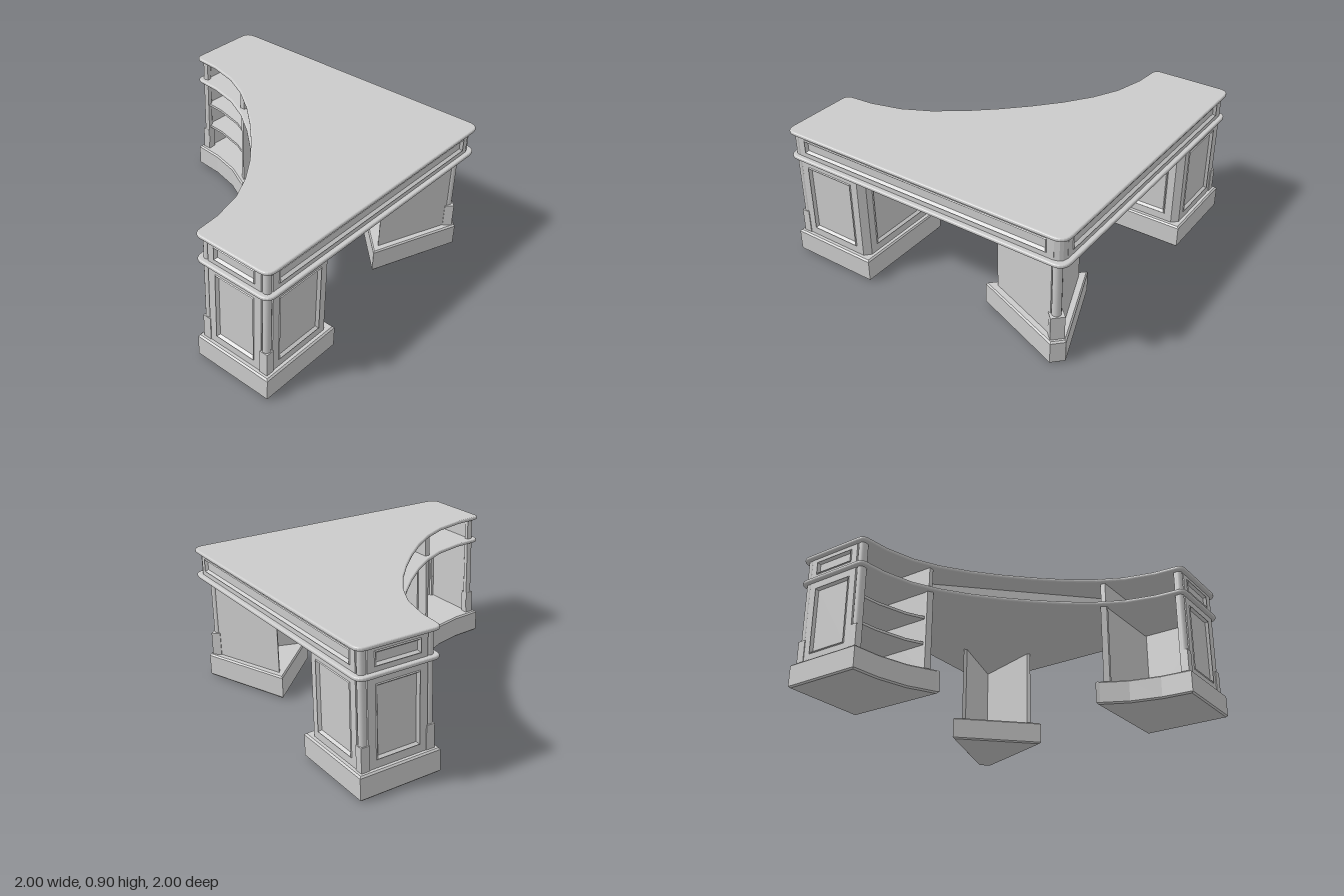
import * as THREE from 'three';

const material = new THREE.MeshStandardMaterial({ color: 0xcccccc });

// Half of the concave user-side edge in (x, z); the other half swaps x and z.
const half = [[-0.98, 0.46], [-0.8, 0.445], [-0.6, 0.395], [-0.43, 0.31], [-0.26, 0.19], [-0.1, 0.05]];
const arc = [...half, ...half.map(([x, z]) => [z, x]).reverse()];

// Concave edge moved inwards by d.
function edge(d) {
  return arc.map(([x, z], i) => {
    const a = (i / (arc.length - 1)) * Math.PI / 2;
    return [x + d * Math.sin(a), z + d * Math.cos(a)];
  });
}

// Portion of the edge between two x positions, left to right.
function edgeBetween(x0, x1, d) {
  const pts = edge(d);
  const at = (x) => {
    let i = 0;
    while (i < pts.length - 2 && pts[i + 1][0] < x) i++;
    const [p, q] = [pts[i], pts[i + 1]];
    return [x, p[1] + (q[1] - p[1]) * (x - p[0]) / (q[0] - p[0])];
  };
  return [at(x0), ...pts.filter(([x]) => x > x0 + 0.01 && x < x1 - 0.01), at(x1)];
}

function add(group, name, geometry) {
  const mesh = new THREE.Mesh(geometry, material);
  mesh.name = name;
  group.add(mesh);
  return mesh;
}

// Plan outline from [x, z, cornerRadius] points.
function planShape(points) {
  const shape = new THREE.Shape();
  points.forEach(([x, z, r = 0], i) => {
    const c = new THREE.Vector2(x, z);
    const toward = (p) => new THREE.Vector2(p[0], p[1]).sub(c).normalize().multiplyScalar(r).add(c);
    const a = toward(points[(i + points.length - 1) % points.length]);
    const b = toward(points[(i + 1) % points.length]);
    if (i === 0) shape.moveTo(a.x, a.y);
    else shape.lineTo(a.x, a.y);
    if (r > 0) shape.quadraticCurveTo(x, z, b.x, b.y);
  });
  shape.closePath();
  return shape;
}

// Plan outline raised from y0 to y1, optionally with softened edges.
function slab(group, name, points, y0, y1, bevel = 0, segments = 1) {
  const g = new THREE.ExtrudeGeometry(planShape(points), {
    depth: y1 - y0 - 2 * bevel, bevelEnabled: bevel > 0, bevelThickness: bevel,
    bevelSize: bevel, bevelOffset: -bevel, bevelSegments: segments, curveSegments: 6,
  });
  g.rotateX(Math.PI / 2).translate(0, y1 - bevel, 0);
  return add(group, name, g);
}

function box(group, name, x0, x1, y0, y1, z0, z1) {
  const g = new THREE.BoxGeometry(x1 - x0, y1 - y0, z1 - z0);
  return add(group, name, g.translate((x0 + x1) / 2, (y0 + y1) / 2, (z0 + z1) / 2));
}

// Wall with a framed recessed panel; p to q runs left to right seen from outside.
function panelWall(group, name, p, q, y0, y1, mx, my) {
  const w = Math.hypot(q[0] - p[0], q[1] - p[1]) / 2, h = (y1 - y0) / 2;
  const rings = [
    [w, h, -0.03], [w, h, 0], [w - mx, h - my, 0], [w - mx - 0.005, h - my - 0.005, 0.006],
    [w - mx - 0.018, h - my - 0.018, -0.012],
  ].map(([a, b, z]) => [[-a, -b, z], [a, -b, z], [a, b, z], [-a, b, z]]);
  const pos = [];
  const quad = (a, b, c, d) => pos.push(...a, ...b, ...c, ...a, ...c, ...d);
  for (let i = 0; i < rings.length - 1; i++) {
    for (let j = 0; j < 4; j++) {
      const k = (j + 1) % 4;
      quad(rings[i][j], rings[i][k], rings[i + 1][k], rings[i + 1][j]);
    }
  }
  quad(...rings[rings.length - 1]);
  quad(...[...rings[0]].reverse());
  const g = new THREE.BufferGeometry();
  g.setAttribute('position', new THREE.Float32BufferAttribute(pos, 3));
  g.computeVertexNormals();
  g.rotateY(Math.atan2(p[1] - q[1], q[0] - p[0]));
  g.translate((p[0] + q[0]) / 2, (y0 + y1) / 2, (p[1] + q[1]) / 2);
  return add(group, name, g);
}

function column(group, name, x, z, r, y0, y1) {
  const g = new THREE.CylinderGeometry(r, r, y1 - y0, 16);
  return add(group, name, g.translate(x, (y0 + y1) / 2, z));
}

// Copy of a group reflected across the diagonal (x and z swapped, winding restored).
function mirrorDiagonal(source, name) {
  const out = new THREE.Group();
  out.name = name;
  for (const mesh of source.children) {
    const g = mesh.geometry.index ? mesh.geometry.toNonIndexed() : mesh.geometry.clone();
    for (const key of ['position', 'normal']) {
      const src = g.getAttribute(key), dst = src.clone();
      for (let i = 0; i < src.count; i++) {
        const j = i % 3 === 1 ? i + 1 : i % 3 === 2 ? i - 1 : i;
        dst.setXYZ(i, src.getZ(j), src.getY(j), src.getX(j));
      }
      g.setAttribute(key, dst);
    }
    add(out, mesh.name, g);
  }
  return out;
}

// Open-backed pedestal under the end of one wing.
function createPedestal() {
  const g = new THREE.Group();
  g.name = 'rightPedestal';
  const y0 = 0.155, y1 = 0.71;
  slab(g, 'plinth', [...edgeBetween(-1, -0.41, 0), [-0.41, 1], [-1, 1]], 0, y0, 0.01);
  panelWall(g, 'frontPanel', [-0.925, 0.97], [-0.475, 0.97], y0, y1, 0.05, 0.05);
  panelWall(g, 'endPanel', [-0.97, 0.535], [-0.97, 0.925], y0, y1, 0.05, 0.05);
  panelWall(g, 'innerPanel', [-0.44, 0.93], [-0.44, 0.39], y0, y1, 0.05, 0.05);
  slab(g, 'innerCornerPost', [[-0.475, 0.97], [-0.44, 0.93], [-0.47, 0.93], [-0.475, 0.94]], y0, y1);
  slab(g, 'innerJamb', [[-0.475, 0.37], [-0.44, 0.35], [-0.44, 0.39], [-0.475, 0.39]], y0, y1);
  for (const z of [0.945, 0.512]) {
    box(g, 'cornerPost', -0.95, -0.92, y0, y1, z - 0.022, z + 0.005);
    column(g, 'cornerColumn', -0.945, z, 0.025, y0, y1);
    box(g, 'columnBlock', -0.975, -0.922, y0, 0.31, z - 0.025, z + 0.03);
  }
  return g;
}

// Drawer-height walls of one wing, open towards the user.
function createFrieze() {
  const g = new THREE.Group();
  g.name = 'frontFrieze';
  const y0 = 0.725, y1 = 0.885;
  panelWall(g, 'longPanel', [-0.925, 0.97], [0.915, 0.97], y0, y1, 0.045, 0.035);
  panelWall(g, 'endPanel', [-0.97, 0.535], [-0.97, 0.925], y0, y1, 0.045, 0.035);
  for (const z of [0.945, 0.512]) {
    box(g, 'cornerPost', -0.95, -0.92, y0, y1, z - 0.022, z + 0.005);
    column(g, 'cornerColumn', -0.945, z, 0.025, y0, y1);
  }
  box(g, 'divider', -0.475, -0.44, y0, y1, 0.36, 0.945);
  return g;
}

export function createModel() {
  const desk = new THREE.Group();
  desk.name = 'cornerDesk';

  // Top and lower moulding share the same rounded outline.
  const inner = edge(0).slice(1, -1);
  const outline = [[-1, 1, 0.07], [-1, 0.46, 0.05], ...inner, [0.46, -1, 0.05], [1, -1, 0.07], [1, 1, 0.08]];
  slab(desk, 'deskTop', outline, 0.875, 0.9, 0.01, 3);
  slab(desk, 'lowerMoulding', outline, 0.705, 0.73, 0.01, 3);

  // Frieze on both wings, joined at the corner.
  const frieze = createFrieze();
  desk.add(frieze, mirrorDiagonal(frieze, 'sideFrieze'));
  slab(desk, 'friezeCorner', [[0.91, 0.97], [0.945, 0.96], [0.96, 0.945], [0.97, 0.91], [0.91, 0.91]], 0.725, 0.885);
  slab(desk, 'compartmentBack', [[-0.45, 0.65], [-0.45, 0.67], [0.67, -0.45], [0.65, -0.45]], 0.725, 0.885);

  // Wing pedestals; the second one carries shelves.
  const pedestal = createPedestal();
  const shelved = mirrorDiagonal(pedestal, 'leftPedestal');
  const shelves = new THREE.Group();
  for (const y of [0.34, 0.52]) {
    slab(shelves, 'shelf', [...edgeBetween(-0.945, -0.46, 0.05), [-0.46, 0.95], [-0.945, 0.95]], y - 0.009, y + 0.009);
  }
  shelved.add(...mirrorDiagonal(shelves, 'shelves').children);
  desk.add(pedestal, shelved);

  // Wedge-shaped corner pedestal, open at the back.
  const corner = new THREE.Group();
  corner.name = 'cornerPedestal';
  slab(corner, 'plinth', [[0.305, 0.75], [0.91, 0.975], [0.975, 0.91], [0.75, 0.305]], 0, 0.155, 0.01);
  slab(corner, 'walls', [[0.38, 0.73], [0.87, 0.915], [0.915, 0.87], [0.73, 0.38],
    [0.715, 0.4], [0.865, 0.865], [0.4, 0.715]], 0.15, 0.71);
  column(corner, 'cornerColumn', 0.9, 0.9, 0.028, 0.155, 0.71);
  const block = new THREE.BoxGeometry(0.085, 0.155, 0.06).rotateY(Math.PI / 4);
  add(corner, 'columnBlock', block.translate(0.905, 0.2325, 0.905));
  desk.add(corner);

  return desk;
}
